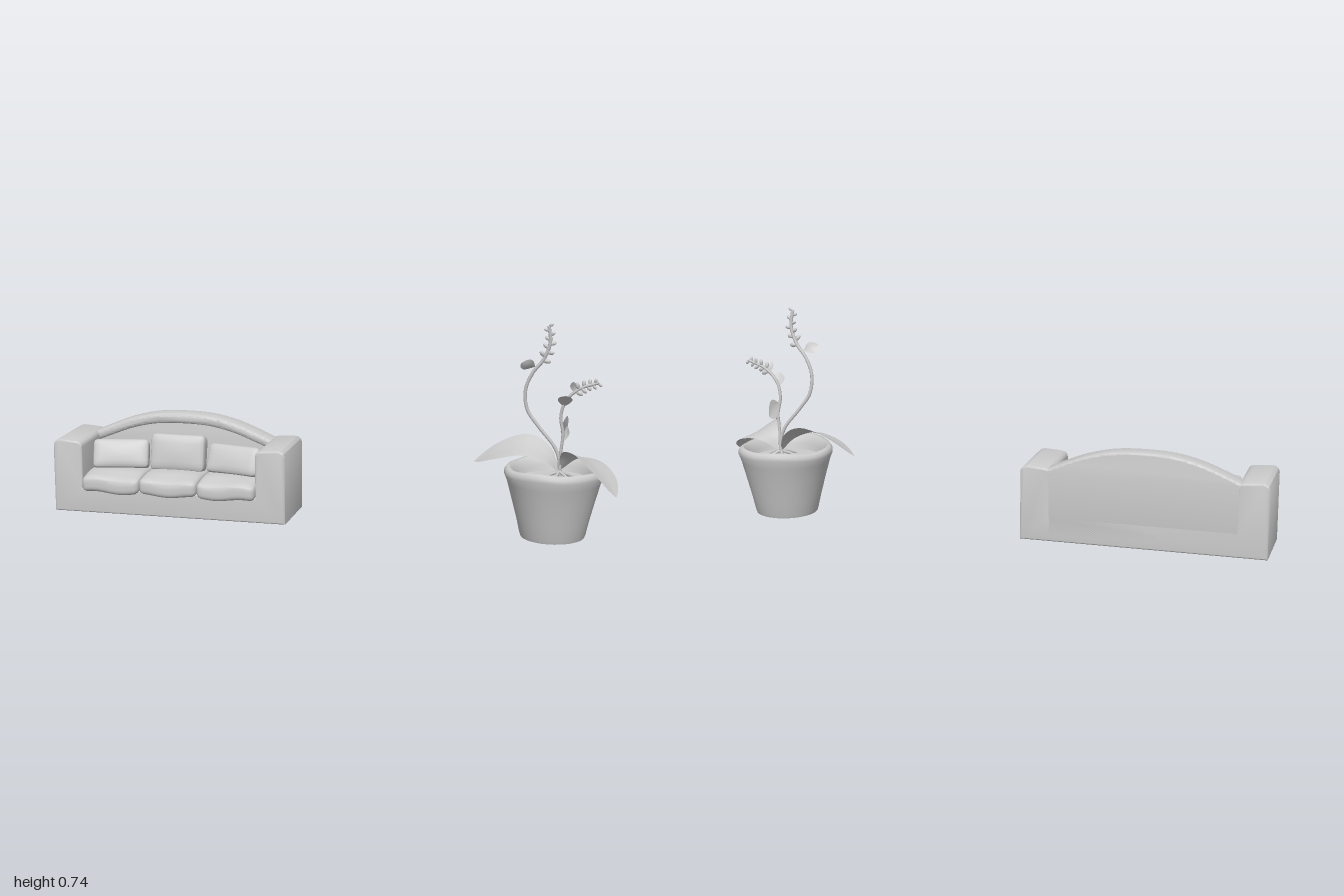
import * as THREE from 'three';
import { mergeVertices, toCreasedNormals } from 'three/addons/utils/BufferGeometryUtils.js';

const grey = new THREE.MeshStandardMaterial({ color: 0xcccccc });
const greyThin = new THREE.MeshStandardMaterial({ color: 0xcccccc, side: THREE.DoubleSide });
const V = (x, y, z) => new THREE.Vector3(x, y, z);

function add(parent, name, geometry, material = grey) {
  const mesh = new THREE.Mesh(geometry, material);
  mesh.name = name;
  parent.add(mesh);
  return mesh;
}

// Extrude a front outline between two depths with softened edges
function slab(shape, z0, z1, bevel) {
  const g = new THREE.ExtrudeGeometry(shape, {
    depth: z1 - z0 - 2 * bevel, bevelThickness: bevel, bevelSize: bevel,
    bevelOffset: -bevel, bevelSegments: 3, curveSegments: 24,
  });
  g.translate(0, 0, z0 + bevel);
  return toCreasedNormals(g, 0.6);
}

// Soft rounded block; "bend" may move each vertex after rounding
function cushion(w, h, d, r, bend) {
  let g = new THREE.BoxGeometry(w, h, d, 14, 8, 14);
  g.deleteAttribute('uv');
  g.deleteAttribute('normal');
  g = mergeVertices(g);
  const p = g.attributes.position, v = V(), core = V();
  const lim = V(w / 2 - r, h / 2 - r, d / 2 - r);
  for (let i = 0; i < p.count; i++) {
    v.fromBufferAttribute(p, i);
    core.copy(v).clamp(lim.clone().negate(), lim);
    v.sub(core);
    if (v.length() > r) v.setLength(r);
    v.add(core);
    if (bend) bend(v);
    p.setXYZ(i, v.x, v.y, v.z);
  }
  g.computeVertexNormals();
  return g;
}

// Leaf blade swept along a curve, widened sideways with a shallow fold
function leaf(points, side, halfWidth, fold, nu = 16, nv = 6) {
  const curve = new THREE.CatmullRomCurve3(points);
  const pos = [], idx = [];
  const s = side.clone().normalize();
  for (let i = 0; i <= nu; i++) {
    const t = i / nu, c = curve.getPoint(t);
    const up = s.clone().cross(curve.getTangent(t)).normalize();
    if (up.y < 0) up.negate();
    const w = halfWidth * (0.04 + Math.pow(Math.sin(Math.PI * Math.pow(t, 1.25)), 0.75));
    for (let j = 0; j <= nv; j++) {
      const k = (j / nv) * 2 - 1;
      const q = c.clone().addScaledVector(s, k * w).addScaledVector(up, fold * w * Math.abs(k));
      pos.push(q.x, q.y, q.z);
      if (i < nu && j < nv) {
        const a = i * (nv + 1) + j, b = a + nv + 1;
        idx.push(a, b, a + 1, b, b + 1, a + 1);
      }
    }
  }
  const g = new THREE.BufferGeometry();
  g.setAttribute('position', new THREE.Float32BufferAttribute(pos, 3));
  g.setIndex(idx);
  g.computeVertexNormals();
  return g;
}

function createSofa() {
  const sofa = new THREE.Group();
  sofa.name = 'sofa';
  sofa.position.x = -0.575;

  // Arms and base as one U-shaped frame
  const u = new THREE.Shape();
  u.moveTo(-0.425, 0.01);
  u.lineTo(0.425, 0.01);
  u.lineTo(0.425, 0.25);
  u.quadraticCurveTo(0.422, 0.272, 0.395, 0.272);
  u.lineTo(0.34, 0.268);
  u.quadraticCurveTo(0.318, 0.265, 0.318, 0.245);
  u.lineTo(0.318, 0.1);
  u.lineTo(-0.318, 0.1);
  u.lineTo(-0.318, 0.245);
  u.quadraticCurveTo(-0.318, 0.265, -0.34, 0.268);
  u.lineTo(-0.395, 0.272);
  u.quadraticCurveTo(-0.422, 0.272, -0.425, 0.25);
  add(sofa, 'armsAndBase', slab(u, -0.13, 0.123, 0.006));

  // Arched back panel
  const crest = [[0.33, 0.264], [0.27, 0.29], [0.19, 0.32], [0.1, 0.34], [0, 0.345],
    [-0.1, 0.34], [-0.19, 0.32], [-0.27, 0.29], [-0.33, 0.264]].map(([x, y]) => new THREE.Vector2(x, y));
  const panel = new THREE.Shape();
  panel.moveTo(-0.33, 0.03);
  panel.lineTo(0.33, 0.03);
  panel.lineTo(0.33, 0.264);
  panel.splineThru(crest.slice(1));
  add(sofa, 'backPanel', slab(panel, -0.13, -0.075, 0.008));

  // Thicker padded roll along the top of the back
  const roll = new THREE.Shape();
  roll.moveTo(crest[0].x, crest[0].y);
  roll.splineThru(crest.slice(1));
  roll.lineTo(-0.33, 0.23);
  roll.splineThru(crest.slice(1, -1).reverse().map(p => new THREE.Vector2(p.x, p.y - 0.036)).concat(new THREE.Vector2(0.33, 0.23)));
  add(sofa, 'backRoll', slab(roll, -0.128, -0.055, 0.012));

  // Seat cushions, sagging over the front edge
  for (let i = -1; i <= 1; i++) {
    const seat = add(sofa, 'seatCushion', cushion(0.212, 0.056, 0.215, 0.02, v => {
      const front = THREE.MathUtils.smoothstep(v.z, 0.02, 0.11);
      v.y -= front * (0.014 + 0.005 * Math.cos(v.x * 32 + i * 1.2));
      v.y += 0.005 * Math.cos(v.x * 14) * (v.y > 0 ? 1 : 0);
    }));
    seat.position.set(i * 0.212, 0.127, 0.035);
  }

  // Back cushions, the outer two turned inwards
  for (let i = -1; i <= 1; i++) {
    const h = i ? 0.105 : 0.13;
    const pillow = add(sofa, 'backCushion', cushion(0.2, h, 0.055, 0.016, v => {
      v.z += 0.008 * Math.sign(v.z) * Math.cos(v.x * 15) * Math.cos((v.y / h) * 3);
    }));
    pillow.rotation.set(i ? -0.4 : -0.22, -i * 0.2, 0, 'YXZ');
    pillow.position.set(i * 0.212, i ? 0.2 : 0.214, i ? 0.004 : -0.01);
  }
  return sofa;
}

function createPlant() {
  const plant = new THREE.Group();
  plant.name = 'pottedPlant';

  // Pot with a gently waving rim
  const profile = [[0, 0], [0.113, 0], [0.117, 0.012], [0.128, 0.06], [0.148, 0.135], [0.164, 0.195],
    [0.174, 0.225], [0.174, 0.238], [0.167, 0.248], [0.155, 0.25], [0.143, 0.238], [0.136, 0.215], [0.125, 0.17]];
  const potGeo = new THREE.LatheGeometry(profile.map(([x, y]) => new THREE.Vector2(x, y)), 40);
  const p = potGeo.attributes.position;
  for (let i = 0; i < p.count; i++) {
    const a = Math.atan2(p.getZ(i), p.getX(i)), k = THREE.MathUtils.smoothstep(p.getY(i), 0.17, 0.24);
    p.setY(i, p.getY(i) - k * (0.004 + 0.005 * Math.cos(2 * a) + 0.002 * Math.cos(5 * a)));
  }
  potGeo.scale(0.97, 1, 1);
  add(plant, 'pot', toCreasedNormals(potGeo, 0.9), greyThin).position.x = 0.766;
  const soil = add(plant, 'soil', new THREE.CylinderGeometry(0.131, 0.125, 0.02, 32));
  soil.position.set(0.766, 0.185, 0);

  // Flower stems
  const stems = [
    [V(0.775, 0.19, -0.015), V(0.782, 0.255, -0.008), V(0.765, 0.31, -0.003), V(0.71, 0.38, 0.003), V(0.67, 0.44, 0.009),
      V(0.664, 0.51, 0.015), V(0.688, 0.57, 0.02), V(0.722, 0.615, 0.024), V(0.744, 0.675, 0.03), V(0.739, 0.733, 0.036)],
    [V(0.785, 0.19, -0.01), V(0.785, 0.28, -0.005), V(0.792, 0.36, 0.001), V(0.784, 0.42, 0.007),
      V(0.799, 0.475, 0.012), V(0.845, 0.52, 0.017), V(0.91, 0.545, 0.02)],
  ].map(pts => new THREE.CatmullRomCurve3(pts));
  stems.forEach((c, n) => {
    add(plant, 'stem', new THREE.TubeGeometry(c, 60, n ? 0.0055 : 0.006, 7));
    // Buds alternating on both sides of the stem tip
    for (let i = 0; i < 9; i++) {
      const t = (n ? 0.8 : 0.79) + i * (n ? 0.024 : 0.026);
      const tan = c.getTangentAt(t), s = i % 2 ? 1 : -1;
      const out = V(-tan.y, tan.x, 0.25 * Math.sin(i * 2)).multiplyScalar(s).addScaledVector(tan, 0.45).normalize();
      const size = 0.0135 - i * 0.0006;
      const bud = add(plant, 'bud', new THREE.SphereGeometry(1, 8, 6));
      bud.scale.set(size * 0.6, size, size * 0.45);
      bud.quaternion.setFromUnitVectors(V(0, 1, 0), out);
      bud.position.copy(c.getPointAt(t)).addScaledVector(out, size * 1.05);
    }
  });

  // Two broad drooping leaves
  add(plant, 'broadLeaf', leaf([V(0.785, 0.22, 0), V(0.745, 0.275, -0.008), V(0.67, 0.305, -0.018),
    V(0.575, 0.282, -0.025), V(0.485, 0.235, -0.045)], V(-0.1, -0.35, 1), 0.068, 0.08), greyThin);
  add(plant, 'broadLeaf', leaf([V(0.785, 0.23, -0.015), V(0.82, 0.28, 0), V(0.875, 0.283, 0.035),
    V(0.935, 0.245, 0.085), V(0.985, 0.185, 0.135)], V(-0.5, 0.3, 0.75), 0.078, 0.08), greyThin);

  // Small stem leaves
  const small = [
    [V(0.694, 0.59, 0.02), V(0.675, 0.598, 0.045), V(0.652, 0.607, 0.06), V(0.6, 0.75, 0.15), 0.022],
    [V(0.793, 0.455, 0.01), V(0.798, 0.478, 0.03), V(0.803, 0.5, 0.05), V(1, 0, 0.1), 0.024],
    [V(0.79, 0.395, 0.008), V(0.797, 0.385, -0.025), V(0.802, 0.36, -0.058), V(0.35, 1, -0.1), 0.03],
    [V(0.792, 0.33, -0.002), V(0.805, 0.355, -0.005), V(0.806, 0.385, -0.008), V(0.8, 0, 0.6), 0.011],
    [V(0.83, 0.505, 0.015), V(0.825, 0.525, 0.02), V(0.824, 0.545, 0.03), V(1, 0.2, 0), 0.011],
  ];
  for (const [a, b, c, side, w] of small) add(plant, 'smallLeaf', leaf([a, b, c], side, w, 0.15, 10, 4), greyThin);

  // Roots spreading over the soil
  for (let i = 0; i < 5; i++) {
    const a = i * 1.26 + 0.5, x = Math.cos(a), z = Math.sin(a);
    const root = new THREE.CatmullRomCurve3([V(0.782, 0.225, -0.008), V(0.78 + x * 0.035, 0.212, z * 0.035), V(0.775 + x * 0.085, 0.192, z * 0.085)]);
    add(plant, 'root', new THREE.TubeGeometry(root, 10, 0.005, 6));
  }
  return plant;
}

export function createModel() {
  const model = new THREE.Group();
  model.name = 'sofaAndPlant';
  model.add(createSofa(), createPlant());
  return model;
}
